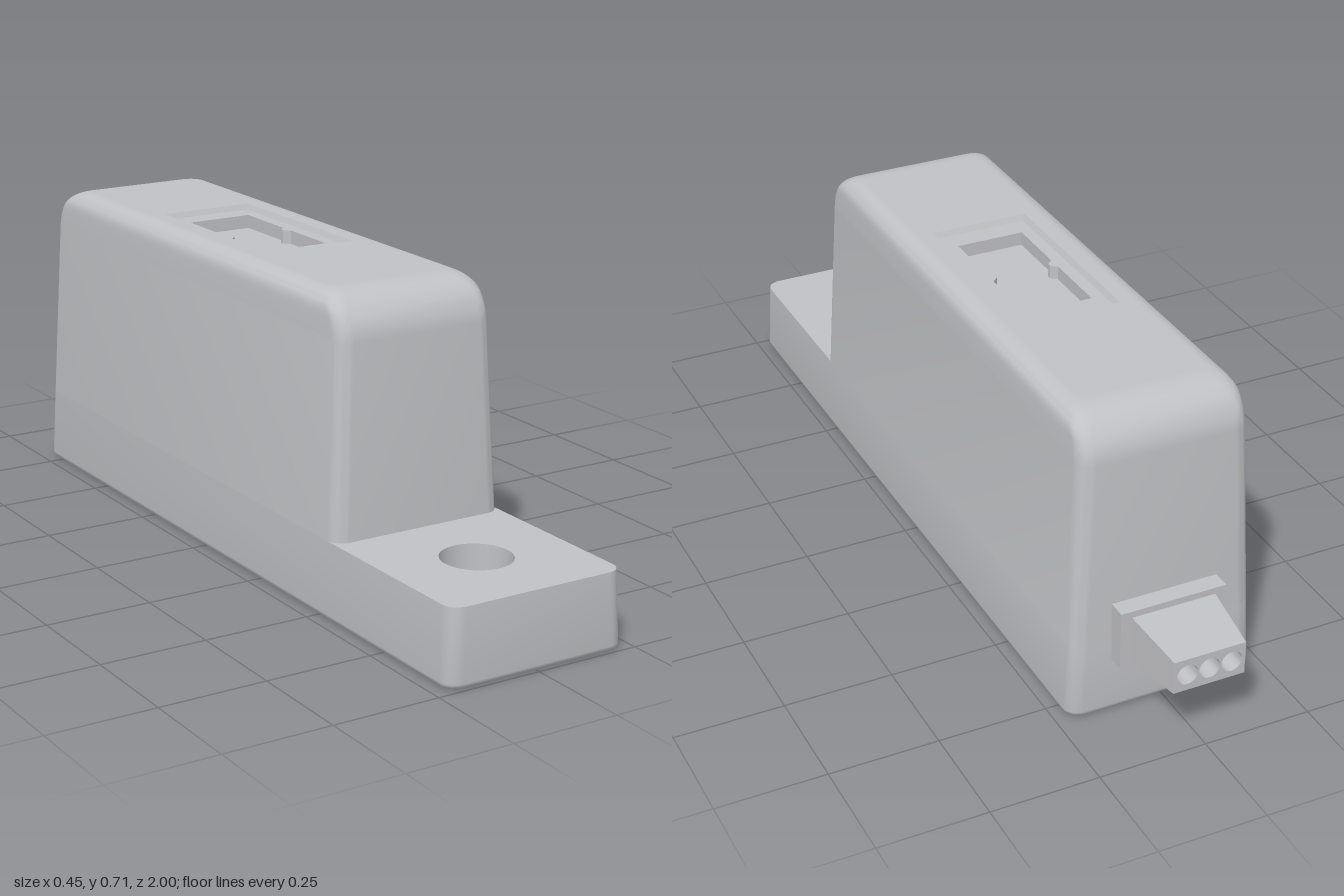
import * as THREE from 'three';
import { toCreasedNormals } from 'three/addons/utils/BufferGeometryUtils.js';

const grey = new THREE.MeshStandardMaterial({ color: 0xc0c1c4 });
grey.name = 'housing grey';

const P = (x, z) => new THREE.Vector2(x, z);

// Outlines in the x/z plane, all running from +x towards +z
const rect = (hw, z0, z1) => [P(hw, z0), P(hw, z1), P(-hw, z1), P(-hw, z0)];

function circle(cx, cz, r, n = 36) {
  return Array.from({ length: n }, (_, i) => {
    const a = (i / n) * Math.PI * 2;
    return P(cx + r * Math.cos(a), cz + r * Math.sin(a));
  });
}

function roundRect(hw, z0, z1, r, n = 6) {
  const pts = [];
  const corners = [[hw - r, z1 - r], [r - hw, z1 - r], [r - hw, z0 + r], [hw - r, z0 + r]];
  corners.forEach(([cx, cz], q) => {
    for (let i = 0; i <= n; i++) {
      const a = (q + i / n) * Math.PI / 2;
      pts.push(P(cx + r * Math.cos(a), cz + r * Math.sin(a)));
    }
  });
  return pts;
}

function add(parent, name, geometry) {
  const mesh = new THREE.Mesh(geometry, grey);
  mesh.name = name;
  parent.add(mesh);
  return mesh;
}

// Skin between [y, outline] rings: faces outward when rising, inward when falling
function loft(parent, name, rings) {
  const n = rings[0][1].length, pos = [], idx = [];
  for (const [y, pts] of rings) for (const p of pts) pos.push(p.x, y, p.y);
  for (let k = 0; k < rings.length - 1; k++) {
    for (let i = 0; i < n; i++) {
      const a = k * n + i, b = k * n + (i + 1) % n, c = a + n, d = b + n;
      idx.push(a, c, b, b, c, d);
    }
  }
  const g = new THREE.BufferGeometry();
  g.setAttribute('position', new THREE.Float32BufferAttribute(pos, 3));
  g.setIndex(idx);
  return add(parent, name, toCreasedNormals(g, 0.6));
}

// Flat horizontal face with optional holes, facing up or down
function cap(parent, name, y, outline, holes = [], up = true) {
  const map = pts => pts.map(p => P(p.x, up ? -p.y : p.y));
  const shape = new THREE.Shape(map(outline));
  for (const h of holes) shape.holes.push(new THREE.Path(map(h)));
  const g = new THREE.ShapeGeometry(shape);
  g.rotateX(up ? -Math.PI / 2 : Math.PI / 2);
  g.translate(0, y, 0);
  return add(parent, name, g);
}

function box(parent, name, w, h, d, x, y, z) {
  add(parent, name, new THREE.BoxGeometry(w, h, d)).position.set(x, y, z);
}

// Drafted outline of the body at height y
const CORNER = 0.035, FOOT_Y = 0.178, TOP = 0.712;
const bodyRing = (y, front, ix = 0, iz = ix) => roundRect(
  0.225 - 0.045 * y - ix, -0.812 + 0.035 * y + iz, front - 0.045 * y - iz, CORNER);

export function createModel() {
  const model = new THREE.Group();
  model.name = 'sensorHousing';

  // Base with the mounting foot, softly rounded along the bottom edge
  const base = new THREE.Group();
  base.name = 'base';
  model.add(base);
  const baseRings = [];
  const br = 0.015;
  for (let k = 0; k <= 4; k++) {
    const a = (k / 4) * Math.PI / 2, y = br * (1 - Math.cos(a));
    baseRings.push([y, bodyRing(y, 1, br * (1 - Math.sin(a)))]);
  }
  baseRings.push([FOOT_Y, bodyRing(FOOT_Y, 1)]);
  loft(base, 'baseWall', baseRings);

  const holeZ = 0.775;
  const bolt = circle(0, holeZ, 0.08), boss = circle(0, holeZ, 0.11);
  const pocket = rect(0.18, 0.585, 0.965);
  const blind = [0.215, -0.455].map(z => circle(0, z, 0.075));
  cap(base, 'footTop', FOOT_Y, baseRings[5][1], [bolt]);
  cap(base, 'underside', 0, baseRings[0][1], [pocket, ...blind], false);

  // Blind holes in the underside
  for (const c of blind) {
    loft(base, 'blindHoleWall', [[0.15, c], [0, c]]);
    cap(base, 'blindHoleEnd', 0.15, c, [], false);
  }

  // Hollow foot with a ribbed bolt boss
  const floorY = 0.14, ribY = 0.006;
  loft(base, 'pocketWall', [[floorY, pocket], [0, pocket]]);
  cap(base, 'pocketFloor', floorY, pocket, [bolt], false);
  loft(base, 'boltHole', [[FOOT_Y, bolt], [ribY, bolt]]);
  loft(base, 'bossWall', [[ribY, boss], [floorY, boss]]);
  cap(base, 'bossRim', ribY, boss, [bolt], false);
  const ribH = floorY - ribY, ribMid = (floorY + ribY) / 2;
  for (const s of [-1, 1]) {
    box(base, 'sideRib', 0.08, ribH, 0.02, s * 0.143, ribMid, holeZ);
    box(base, 'endRib', 0.02, ribH, 0.09, 0, ribMid, holeZ + s * 0.148);
  }

  // Tall housing: large rounding at the ends, small rounding at the sides
  const housing = new THREE.Group();
  housing.name = 'housing';
  model.add(housing);
  const front = 0.573, rz = 0.1, rx = 0.042;
  const rings = [[FOOT_Y, bodyRing(FOOT_Y, front)]];
  for (let k = 0; k <= 14; k++) {
    const a = (k / 14) * Math.PI / 2;
    const y = TOP - rz + rz * Math.sin(a);
    const dy = Math.max(0, y - (TOP - rx));
    const ix = rx - Math.sqrt(Math.max(0, rx * rx - dy * dy));
    rings.push([y, bodyRing(y, front, ix, rz * (1 - Math.cos(a)))]);
  }
  loft(housing, 'housingWall', rings);

  // Stepped recess in the top with a notched inner window
  const outer = rect(0.116, -0.36, 0.112), ledge = rect(0.109, -0.353, 0.105);
  const nz = -0.118;
  const inner = [
    P(0.08, -0.298), P(0.08, nz - 0.018), P(0.066, nz - 0.004), P(0.066, nz + 0.004), P(0.08, nz + 0.018),
    P(0.08, 0.052), P(-0.08, 0.052),
    P(-0.08, nz + 0.018), P(-0.066, nz + 0.004), P(-0.066, nz - 0.004), P(-0.08, nz - 0.018), P(-0.08, -0.298),
  ];
  const ledgeY = TOP - 0.013, windowY = TOP - 0.045;
  cap(housing, 'housingTop', TOP, rings[rings.length - 1][1], [outer]);
  loft(housing, 'recessWall', [[TOP, outer], [ledgeY, ledge]]);
  cap(housing, 'recessLedge', ledgeY, ledge, [inner]);
  loft(housing, 'windowWall', [[ledgeY, inner], [windowY, inner]]);
  cap(housing, 'windowFloor', windowY, inner);

  // Rear cable connector, modelled upright and turned to point backwards
  box(model, 'connectorFlange', 0.25, 0.14, 0.065, 0, 0.2, -0.8125);
  const plug = new THREE.Group();
  plug.name = 'connectorPlug';
  plug.rotation.x = -Math.PI / 2;
  model.add(plug);
  const end = rect(0.084, 0.16, 0.238);
  const sockets = [-0.052, 0, 0.052].map(x => circle(x, 0.199, 0.0245, 20));
  loft(plug, 'plugWall', [[0.84, rect(0.1, 0.145, 0.255)], [1, end]]);
  cap(plug, 'plugEnd', 1, end, sockets);
  for (const s of sockets) {
    loft(plug, 'socketWall', [[1, s], [0.92, s]]);
    cap(plug, 'socketEnd', 0.92, s);
  }

  return model;
}
